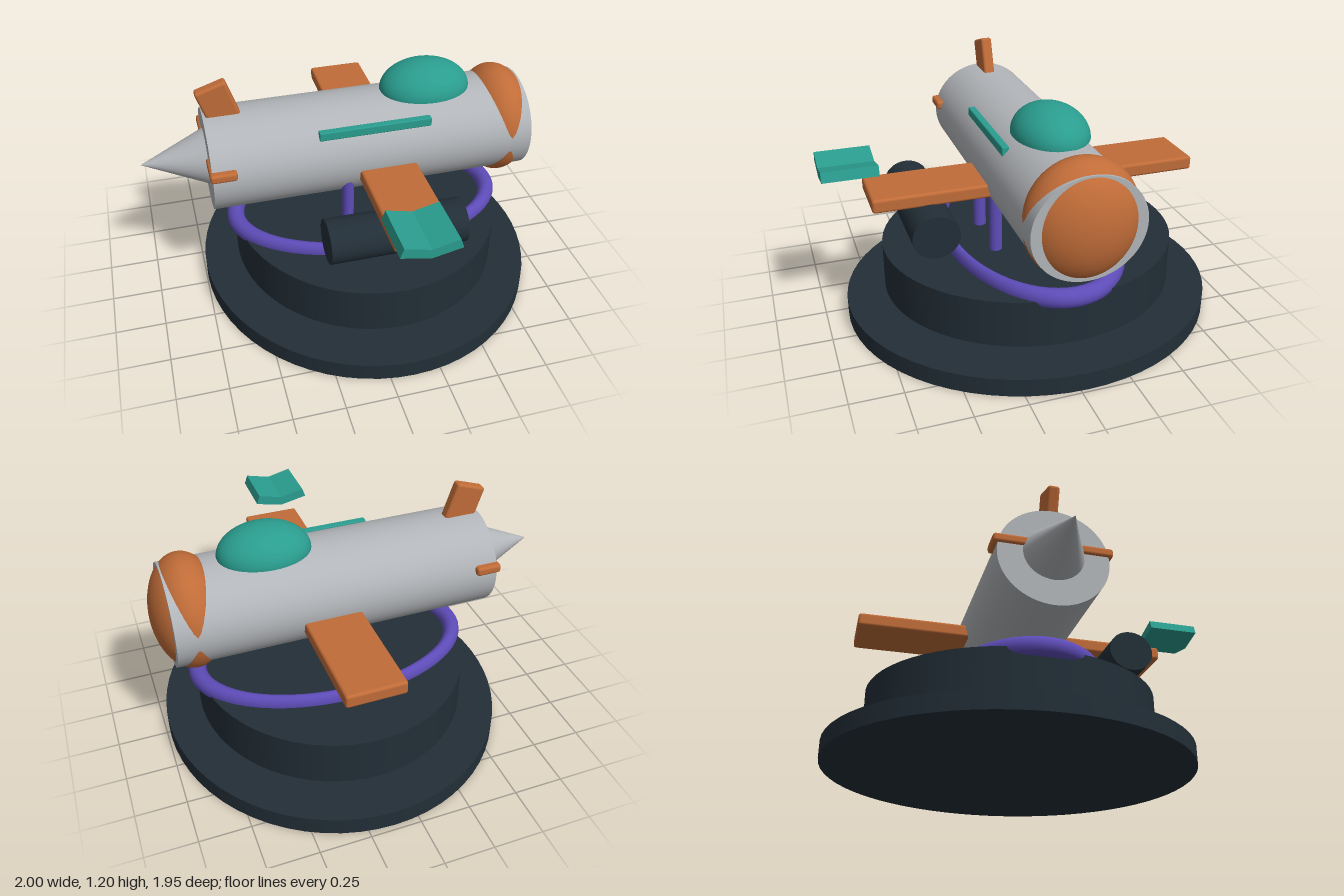
import * as THREE from 'three';
import { RoundedBoxGeometry } from 'three/addons/geometries/RoundedBoxGeometry.js';

const DEPTH = 1.08; // round parts are slightly stretched front to back
const MID = -0.04; // z of the body's centre line

export function createModel() {
  const material = (name, color, side = THREE.FrontSide) => {
    const m = new THREE.MeshStandardMaterial({ color, side });
    m.name = name;
    return m;
  };
  const silver = material('silver', 0xb2b5b9);
  const orange = material('orange', 0xc06c38);
  const teal = material('teal', 0x2a9d8f, THREE.DoubleSide);
  const purple = material('purple', 0x5e4cb8);
  const dark = material('dark slate', 0x222e37);

  const model = new THREE.Group();
  model.name = 'rocketPlane';
  const add = (name, geometry, mat, x, y, z, scale = [1, 1, 1]) => {
    const mesh = new THREE.Mesh(geometry, mat);
    mesh.name = name;
    mesh.position.set(x, y, z);
    mesh.scale.set(...scale);
    model.add(mesh);
    return mesh;
  };
  const round = [1, 1, DEPTH];
  // cylinder or cone lying along x, first radius at the -x end
  const lying = (r0, r1, length) =>
    new THREE.CylinderGeometry(r0, r1, length, 64).rotateZ(Math.PI / 2);
  const box = (w, h, d, r) => new RoundedBoxGeometry(w, h, d, 3, r);

  // stand: two stacked discs with a gap, and a ring lying on top
  add('baseDisc', new THREE.CylinderGeometry(0.865, 0.865, 0.09, 64), dark, 0.12, 0.045, MID, round);
  add('upperDisc', new THREE.CylinderGeometry(0.685, 0.685, 0.235, 64), dark, 0.12, 0.2525, MID, round);
  const ring = new THREE.TorusGeometry(0.685, 0.045, 16, 64).rotateX(Math.PI / 2);
  add('standRing', ring, purple, 0.12, 0.377, MID, [1, 1.06, 0.605]);

  // struts and wheels
  for (const x of [-0.02, 0.26]) {
    add('strut', new THREE.CylinderGeometry(0.03, 0.03, 0.53, 24), purple, x, 0.435, 0.17, round);
    const wheel = new THREE.TorusGeometry(0.065, 0.03, 14, 32).rotateY(Math.PI / 2);
    add('wheel', wheel, dark, x, 0.183, 0.17, round);
  }

  // body, nose and tail cone
  add('fuselage', lying(0.247, 0.247, 1.605), silver, 0.1195, 0.775, MID, round);
  add('nose', new THREE.SphereGeometry(1, 64, 40), orange, 0.82, 0.779, MID, [0.177, 0.286, 0.266]);
  add('tailCone', lying(0, 0.135, 0.315).rotateY(0), silver, -0.8425, 0.79, MID, round);

  // canopy
  const dome = new THREE.SphereGeometry(1, 48, 20, 0, Math.PI * 2, 0, Math.PI / 2);
  add('canopy', dome, teal, 0.428, 1.02, MID, [0.227, 0.14, 0.176]);

  // wings and fins
  add('wing', box(0.29, 0.068, 1.62, 0.014), orange, 0.175, 0.714, MID);
  add('sideFins', box(0.128, 0.045, 0.572, 0.014), orange, -0.631, 0.836, MID);
  const fin = add('tailFin', box(0.158, 0.3, 0.058, 0.014), orange, -0.589, 1.033, MID);
  fin.rotation.z = 0.32;

  // side trim, side engine and chevron plate
  add('sideTrim', box(0.56, 0.045, 0.036, 0.006), teal, 0.12, 0.943, 0.162);
  add('sideEngine', lying(0.105, 0.105, 0.667), dark, 0.119, 0.585, 0.507, round);
  const outline = [[-0.14, -0.005], [-0.124, 0.042], [0, 0.012], [0.124, 0.042], [0.14, -0.005], [0, -0.035]];
  const chevron = new THREE.Shape(outline.reverse().map(([x, y]) => new THREE.Vector2(x, y)));
  const plate = new THREE.ExtrudeGeometry(chevron, { depth: 0.262, bevelEnabled: false });
  add('chevronPlate', plate, teal, 0.121, 0.846, 0.716);

  return model;
}
